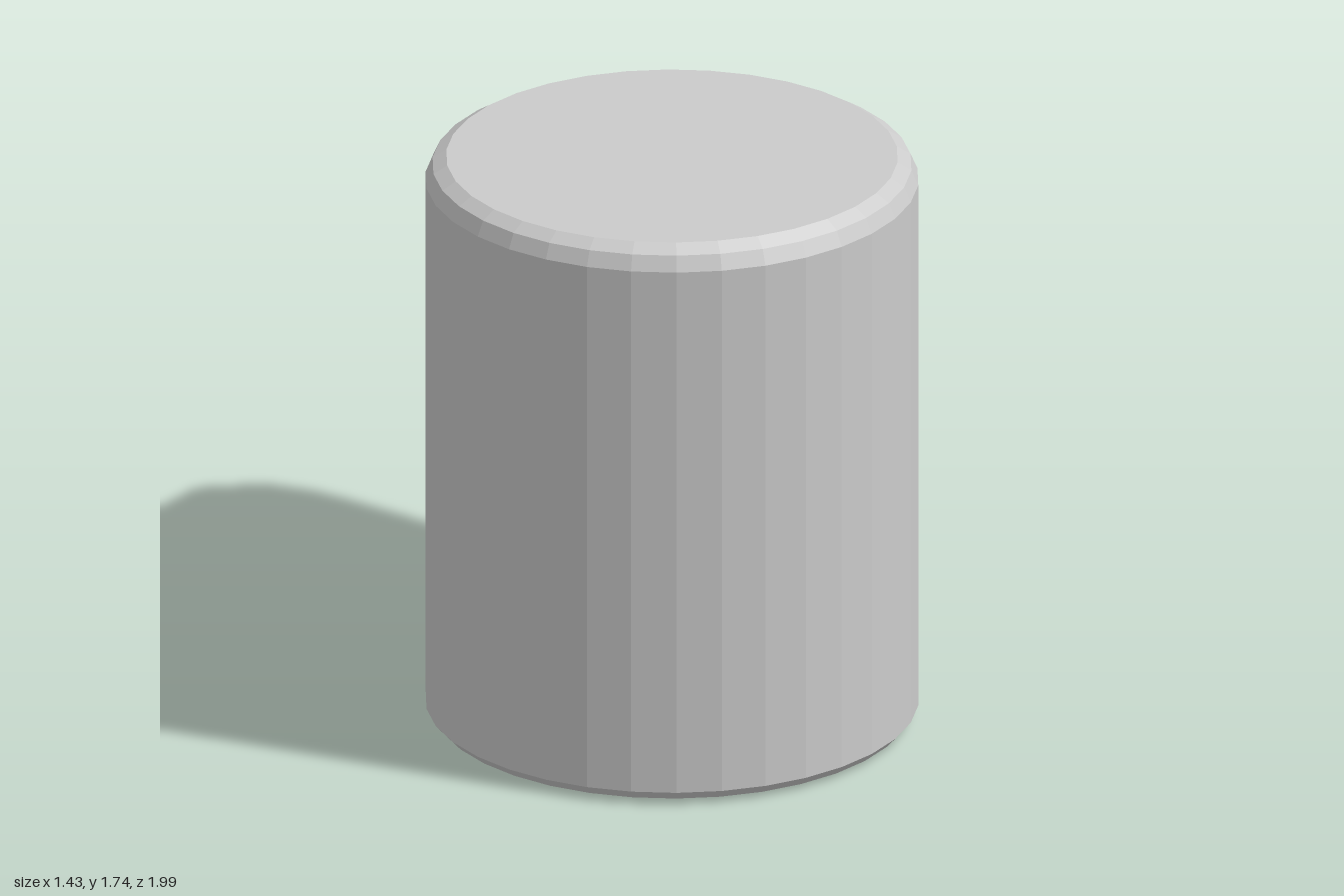
import * as THREE from 'three';
import { ConvexGeometry } from 'three/addons/geometries/ConvexGeometry.js';

// Rounded drum: [radius, height] of each ring
const RINGS = [[0.65, 0], [0.69, 0.012], [0.715, 0.04], [0.715, 1.67], [0.695, 1.715], [0.655, 1.74]];
const SIDES = 34;
const DRUM_Z = 0.283;

// Outer edge of the back ridge, top to bottom: [z, y]
const RIDGE = [
  [-0.92, 1.47], [-0.95, 1.445], [-0.975, 1.4], [-0.997, 1.33], [-1, 1.22],
  [-0.977, 1.11], [-0.95, 1.0], [-0.92, 0.9], [-0.87, 0.77], [-0.81, 0.66],
];
// Rounded cross-section of the ridge: [half width, depth below the edge]
const SECTION = [[0.065, 0], [0.105, 0.02], [0.13, 0.055], [0.135, 0.1]];
const RIDGE_X = -0.055;

function drumPoints() {
  const points = [];
  for (const [r, y] of RINGS) {
    for (let i = 0; i < SIDES; i++) {
      const a = ((i + 0.5) / SIDES) * Math.PI * 2;
      points.push(new THREE.Vector3(r * Math.sin(a), y, DRUM_Z + r * Math.cos(a)));
    }
  }
  return points;
}

function ridgePoints() {
  const points = [];
  RIDGE.forEach(([z, y], i) => {
    const a = RIDGE[Math.max(i - 1, 0)];
    const b = RIDGE[Math.min(i + 1, RIDGE.length - 1)];
    // Inward direction, square to the edge
    const inward = new THREE.Vector2(a[1] - b[1], b[0] - a[0]).normalize();
    for (const [w, depth] of SECTION) {
      for (const side of [-1, 1]) {
        points.push(new THREE.Vector3(RIDGE_X + side * w, y + inward.y * depth, z + inward.x * depth));
      }
    }
  });
  return points;
}

export function createModel() {
  const group = new THREE.Group();
  group.name = 'taperedDrum';

  // One faceted skin stretched over the drum and its back ridge
  const body = new THREE.Mesh(
    new ConvexGeometry([...drumPoints(), ...ridgePoints()]),
    new THREE.MeshStandardMaterial({ color: 0xcccccc, flatShading: true }),
  );
  body.name = 'body';
  group.add(body);
  return group;
}
